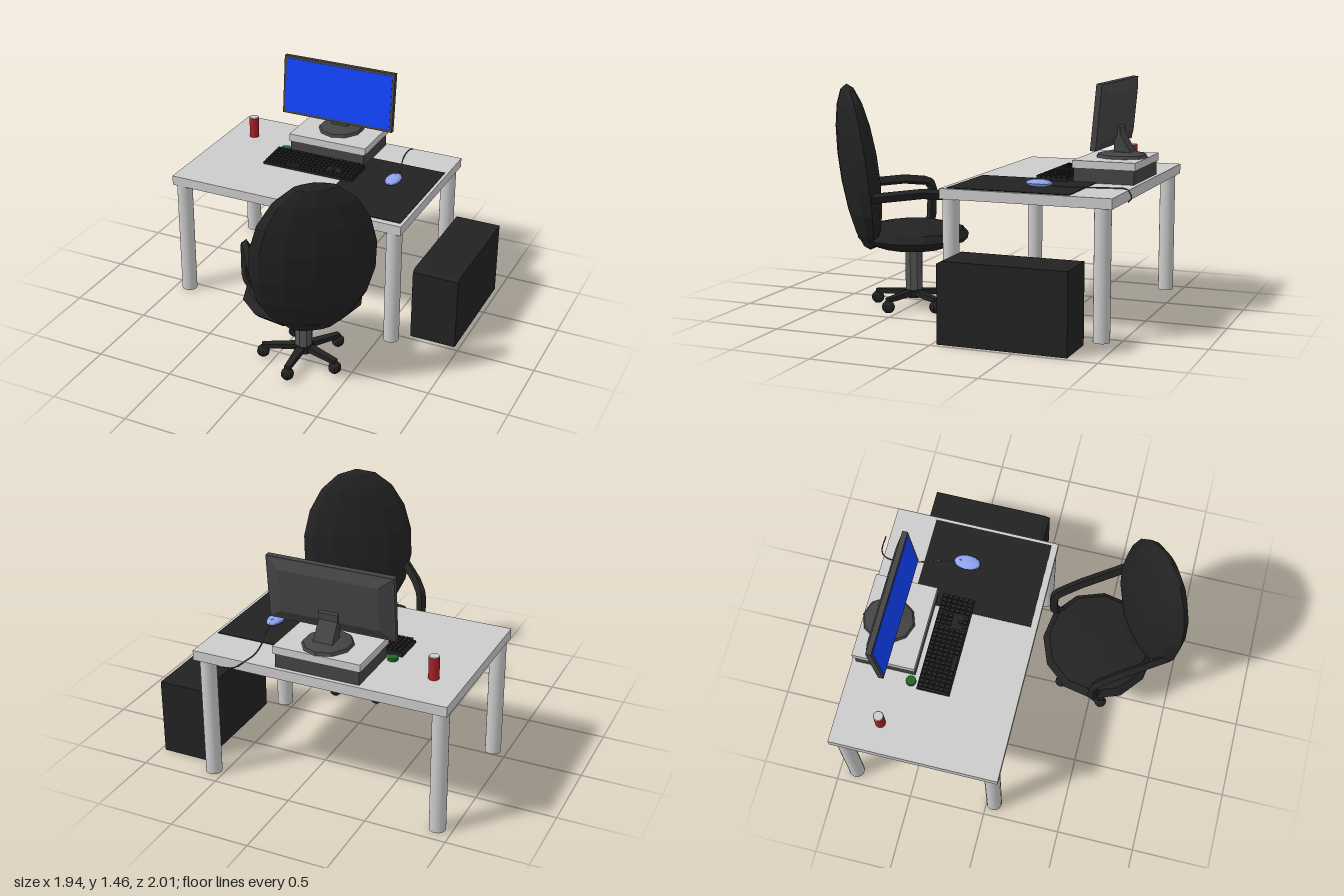
import * as THREE from 'three';
import { mergeGeometries } from 'three/addons/utils/BufferGeometryUtils.js';

const mat = (color, flatShading = true) => new THREE.MeshStandardMaterial({ color, flatShading });
const GREY = mat(0xcccccc), GREY_SMOOTH = mat(0xcccccc, false);
const BLACK = mat(0x222222), DARK = mat(0x444444), STEEL = mat(0x555555);

function add(parent, name, geometry, material, x = 0, y = 0, z = 0) {
  const mesh = new THREE.Mesh(geometry, material);
  mesh.name = name;
  mesh.position.set(x, y, z);
  parent.add(mesh);
  return mesh;
}

function group(parent, name, x = 0, y = 0, z = 0) {
  const g = new THREE.Group();
  g.name = name;
  g.position.set(x, y, z);
  parent.add(g);
  return g;
}

// Box given by its limits on each axis
function block(parent, name, material, x0, x1, y0, y1, z0, z1) {
  return add(parent, name, new THREE.BoxGeometry(x1 - x0, y1 - y0, z1 - z0), material,
    (x0 + x1) / 2, (y0 + y1) / 2, (z0 + z1) / 2);
}

// Side profile of [z, y] points extruded along x, centred on x = 0
function sideProfile(points, width) {
  const shape = new THREE.Shape(points.map(([z, y]) => new THREE.Vector2(-z, y)));
  return new THREE.ExtrudeGeometry(shape, { depth: width, bevelEnabled: false })
    .translate(0, 0, -width / 2).rotateY(Math.PI / 2);
}

const lathe = (points, sides) =>
  new THREE.LatheGeometry(points.map(([r, y]) => new THREE.Vector2(r, y)), sides);

function buildDesk(root) {
  const desk = group(root, 'desk');
  block(desk, 'deskTop', GREY, -0.97, 0.63, 0.785, 0.848, -0.96, 0.10);
  for (const x of [-0.91, 0.57]) for (const z of [-0.89, 0.05])
    add(desk, 'deskLeg', new THREE.CylinderGeometry(0.05, 0.05, 0.785, 24), GREY_SMOOTH, x, 0.3925, z);
}

function buildMonitor(root) {
  const riser = group(root, 'monitorRiser');
  block(riser, 'riserBox', DARK, -0.435, 0.095, 0.848, 0.935, -0.935, -0.555);
  block(riser, 'riserTop', GREY, -0.445, 0.105, 0.935, 0.983, -0.945, -0.55);

  const monitor = group(root, 'monitor', -0.17, 0, 0);
  const foot = add(monitor, 'monitorFoot',
    lathe([[0, 0], [0.165, 0], [0.155, 0.018], [0.09, 0.035], [0, 0.038]], 10), DARK, 0, 0.983, -0.785);
  foot.scale.x = 0.92;
  add(monitor, 'monitorNeck',
    sideProfile([[-0.75, 1.0], [-0.75, 1.2], [-0.785, 1.17], [-0.785, 1.13], [-0.86, 1.01]], 0.12), DARK);

  const head = group(monitor, 'monitorHead', 0, 1.258, -0.735);
  head.rotation.x = -0.09;
  add(head, 'monitorFrame', new THREE.BoxGeometry(0.795, 0.4, 0.034), DARK);
  add(head, 'screen', new THREE.BoxGeometry(0.76, 0.366, 0.004), mat(0x1144ff), 0, 0, 0.017);
  // Back shell tapers away from the frame
  const shell = new THREE.BoxGeometry(0.78, 0.385, 0.028);
  const p = shell.attributes.position;
  for (let i = 0; i < p.count; i++)
    if (p.getZ(i) < 0) p.setXY(i, p.getX(i) * 0.8, p.getY(i) * 0.7);
  add(head, 'monitorBack', shell, DARK, 0, 0, -0.031);
}

function buildKeyboard(root) {
  const board = group(root, 'keyboard', -0.2, 0.848, -0.42);
  add(board, 'keyboardBase',
    sideProfile([[0.103, 0], [0.103, 0.016], [-0.103, 0.028], [-0.103, 0]], 0.64), BLACK);
  // Three key clusters: [first x, columns]
  const keys = [];
  const pitch = 0.0278;
  for (const [x0, columns] of [[-0.296, 15], [0.13, 3], [0.222, 4]])
    for (let row = 0; row < 6; row++) {
      if (columns === 3 && row === 3) continue;
      for (let c = 0; c < columns; c++) {
        if (columns === 3 && row === 4 && c !== 1) continue;
        if (columns === 15 && row === 5 && c > 4 && c < 9) continue;
        const z = -0.083 + row * 0.033;
        keys.push(new THREE.BoxGeometry(0.022, 0.02, 0.025)
          .translate(x0 + c * pitch, 0.034 - row * 0.002, z));
      }
    }
  keys.push(new THREE.BoxGeometry(0.105, 0.02, 0.025).translate(-0.296 + 6.5 * pitch, 0.024, 0.082));
  add(board, 'keys', mergeGeometries(keys), BLACK);
}

function buildDeskItems(root) {
  block(root, 'mousePad', BLACK, 0.04, 0.61, 0.847, 0.853, -0.70, 0.06);

  // Mouse: upper half of an egg-shaped dome with a wheel
  const mouse = group(root, 'mouse', 0.36, 0.853, -0.43);
  const body = add(mouse, 'mouseBody', new THREE.SphereGeometry(1, 12, 8), mat(0x8fa4f0), 0, 0.019, 0);
  body.scale.set(0.05, 0.024, 0.085);
  const wheel = add(mouse, 'mouseWheel', new THREE.CylinderGeometry(0.01, 0.01, 0.008, 10), mat(0x8fa4f0), 0, 0.034, -0.045);
  wheel.rotation.z = Math.PI / 2;

  const cable = new THREE.CatmullRomCurve3([
    [0.36, 0.862, -0.51], [0.335, 0.855, -0.62], [0.295, 0.853, -0.74], [0.272, 0.853, -0.86],
    [0.28, 0.852, -0.945], [0.335, 0.815, -0.99], [0.44, 0.8, -0.995],
  ].map((q) => new THREE.Vector3(...q)));
  add(root, 'mouseCable', new THREE.TubeGeometry(cable, 24, 0.004, 6), DARK);

  // Drink can with a bare metal lid
  const can = group(root, 'can', -0.78, 0.848, -0.68);
  add(can, 'canBody', new THREE.CylinderGeometry(0.032, 0.032, 0.14, 20), mat(0xaa2028, false), 0, 0.07, 0);
  add(can, 'canLid', new THREE.CylinderGeometry(0.029, 0.032, 0.004, 20), GREY, 0, 0.142, 0);
  add(root, 'greenDisc', new THREE.CylinderGeometry(0.032, 0.032, 0.02, 20), mat(0x1f6628, false), -0.48, 0.858, -0.57);
}

function buildTower(root) {
  // Case with a small chamfer on the top front edge
  add(root, 'computerTower',
    sideProfile([[-0.03, 0], [-0.03, 0.472], [-0.06, 0.488], [-0.815, 0.488], [-0.815, 0]], 0.3), BLACK, 0.82, 0, 0);
}

function buildChair(root) {
  const chair = group(root, 'chair', 0.163, 0, 0.485);

  // Five-star base with ball casters
  const base = group(chair, 'chairBase');
  add(base, 'hub', new THREE.CylinderGeometry(0.06, 0.065, 0.05, 8), BLACK, 0, 0.09, 0);
  for (let i = 0; i < 5; i++) {
    const spoke = group(base, 'spoke');
    spoke.rotation.y = 0.05 + (i * Math.PI * 2) / 5;
    const arm = new THREE.BoxGeometry(0.055, 0.035, 0.25).translate(0, 0, 0.125);
    const p = arm.attributes.position;
    for (let k = 0; k < p.count; k++)
      if (p.getZ(k) > 0.2) p.setXY(k, p.getX(k) * 0.65, p.getY(k) * 0.8 - 0.012);
    add(spoke, 'spokeArm', arm, BLACK, 0, 0.095, 0.01);
    add(spoke, 'caster', new THREE.SphereGeometry(0.041, 10, 6), BLACK, 0, 0.041, 0.252);
  }
  add(chair, 'chairColumn', new THREE.CylinderGeometry(0.057, 0.057, 0.32, 8), STEEL, 0, 0.24, 0);

  // Upper part turned on the column, its back towards local +z
  const upper = group(chair, 'chairUpper');
  upper.rotation.y = 0.614;
  const seat = add(upper, 'seat',
    lathe([[0, 0.385], [0.22, 0.392], [0.34, 0.435], [0.37, 0.465], [0.33, 0.51], [0.2, 0.54], [0, 0.547]], 12), BLACK);
  seat.scale.z = 0.97;

  const back = add(upper, 'backrest', new THREE.SphereGeometry(1, 12, 9), BLACK, 0, 0.905, 0.345);
  back.scale.set(0.375, 0.53, 0.115);
  back.rotation.x = 0.13;

  // Armrests: a bar swept up from the seat and back to the backrest
  const bar = new THREE.Shape([[-0.024, -0.02], [0.024, -0.02], [0.024, 0.02], [-0.024, 0.02]]
    .map((q) => new THREE.Vector2(...q)));
  for (const side of [-1, 1]) {
    const path = new THREE.CurvePath();
    const pts = [[0.27, 0.47, -0.09], [0.31, 0.485, -0.155], [0.325, 0.52, -0.18], [0.325, 0.725, -0.185],
      [0.325, 0.76, -0.155], [0.328, 0.775, 0], [0.33, 0.755, 0.32]]
      .map(([x, y, z]) => new THREE.Vector3(x * side, y, z));
    for (let i = 1; i < pts.length; i++) path.add(new THREE.LineCurve3(pts[i - 1], pts[i]));
    add(upper, 'armrest', new THREE.ExtrudeGeometry(bar, { steps: 30, extrudePath: path }), BLACK);
  }
}

export function createModel() {
  const root = new THREE.Group();
  root.name = 'computerWorkstation';
  buildDesk(root);
  buildMonitor(root);
  buildKeyboard(root);
  buildDeskItems(root);
  buildTower(root);
  buildChair(root);
  return root;
}
